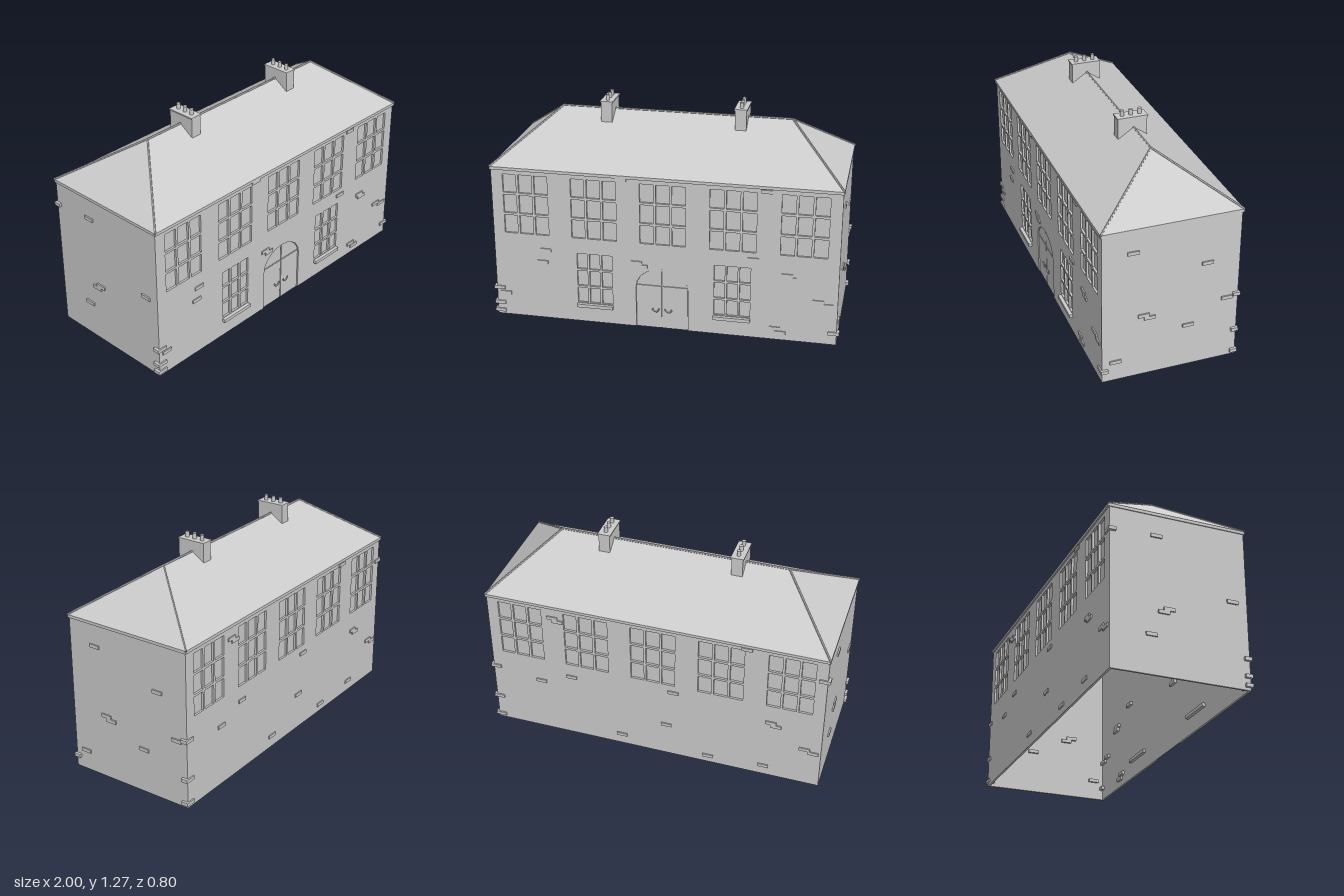
import * as THREE from 'three';

const W = 0.985, D = 0.385, EAVE = 0.917, T = 0.012;
const mat = new THREE.MeshStandardMaterial({ color: 0xcccccc, flatShading: true, side: THREE.DoubleSide });

function add(parent, name, geometry, x = 0, y = 0, z = 0) {
  const m = new THREE.Mesh(geometry, mat);
  m.name = name;
  m.position.set(x, y, z);
  parent.add(m);
  return m;
}
const box = (w, h, d) => new THREE.BoxGeometry(w, h, d);
const extrude = (shape, depth) =>
  new THREE.ExtrudeGeometry(shape, { depth, bevelEnabled: false });
const polygon = (pts) => new THREE.Shape(pts.map(([x, y]) => new THREE.Vector2(x, y)));
const rect = (x0, y0, x1, y1) => polygon([[x0, y0], [x1, y0], [x1, y1], [x0, y1]]);

// Outline of the arched doorway, right jamb to left jamb
function archPoints(rx, spring, rise, cx) {
  const pts = [[cx + rx, 0]];
  for (let i = 0; i <= 10; i++) {
    const a = (i / 10) * Math.PI;
    pts.push([cx + rx * Math.cos(a), spring + rise * Math.sin(a)]);
  }
  pts.push([cx - rx, 0]);
  return pts;
}

// Cuts a 3 x 3 grid of panes and sets glass behind it
function cutWindow(shape, group, cx, y0, w, h, bar) {
  const pw = (w - 2 * bar) / 3, ph = (h - 2 * bar) / 3;
  for (let i = 0; i < 3; i++) {
    for (let j = 0; j < 3; j++) {
      const x = cx - w / 2 + i * (pw + bar), y = y0 + j * (ph + bar);
      shape.holes.push(rect(x, y, x + pw, y + ph));
    }
  }
  add(group, 'windowGlass', new THREE.PlaneGeometry(w, h), cx, y0 + h / 2, D - T);
}

// Long wall facing +z, with five upper windows and an optional entrance
function longWall(name, entrance) {
  const g = new THREE.Group();
  g.name = name;
  const cx = -0.005;
  const outline = [[-W, 0]];
  if (entrance) outline.push(...archPoints(0.15, 0.25, 0.122, cx).reverse());
  outline.push([W, 0], [W, EAVE], [-W, EAVE]);
  const shape = polygon(outline);
  for (let i = -2; i <= 2; i++) cutWindow(shape, g, i * 0.394, 0.52, 0.26, 0.355, 0.014);
  if (entrance) {
    for (const s of [-1, 1]) {
      cutWindow(shape, g, s * 0.395, 0.12, 0.205, 0.305, 0.012);
      add(g, 'windowSill', box(0.21, 0.02, 0.05), s * 0.395, 0.105, D - 0.005);
    }
    addDoor(g, cx);
  }
  add(g, 'wallFace', extrude(shape, T), 0, 0, D - T);
  return g;
}

// Double door with fanlight and ring handles
function addDoor(g, cx) {
  const door = new THREE.Group();
  door.name = 'door';
  add(door, 'doorBacking', new THREE.ShapeGeometry(polygon(archPoints(0.15, 0.25, 0.122, cx))), 0, 0, D - T);
  for (const s of [-1, 1]) {
    add(door, 'doorLeaf', box(0.144, 0.262, 0.006), cx + s * 0.075, 0.131, D - T + 0.003);
    const fan = [];
    for (let i = 0; i <= 5; i++) {
      const a = (i / 10) * Math.PI;
      fan.push([cx + s * (0.003 + 0.144 * Math.cos(a)), 0.25 + 0.119 * Math.sin(a)]);
    }
    fan[0][1] = 0.268;
    fan[0][0] = cx + s * 0.144;
    fan.push([cx + s * 0.003, 0.268]);
    add(door, 'fanlight', extrude(polygon(fan), 0.006), 0, 0, D - T);
    const handle = add(door, 'doorHandle', new THREE.TorusGeometry(0.018, 0.004, 6, 12, Math.PI * 1.1),
      cx + s * 0.037, 0.12, D - 0.001);
    handle.rotation.z = Math.PI * 0.95;
  }
  g.add(door);
}

// Square-section capping between two points
function capping(parent, a, b, r) {
  const m = add(parent, 'ridgeCapping', new THREE.CylinderGeometry(r, r, a.distanceTo(b), 6));
  m.position.copy(a).add(b).multiplyScalar(0.5);
  m.quaternion.setFromUnitVectors(new THREE.Vector3(0, 1, 0), b.clone().sub(a).normalize());
}

function buildRoof() {
  const g = new THREE.Group();
  g.name = 'roof';
  const X = 0.99, Z = 0.393, R = 0.66, H = 1.178;
  const v = (x, y, z) => new THREE.Vector3(x, y, z);
  const fl = v(-X, EAVE, Z), fr = v(X, EAVE, Z), bl = v(-X, EAVE, -Z), br = v(X, EAVE, -Z);
  const rl = v(-R, H, 0), rr = v(R, H, 0);
  const faces = [fl, fr, rr, fl, rr, rl, br, bl, rl, br, rl, rr, fr, br, rr, bl, fl, rl];
  const geo = new THREE.BufferGeometry().setFromPoints(faces);
  geo.computeVertexNormals();
  add(g, 'roofSlopes', geo);
  capping(g, rl, rr, 0.006);
  for (const [a, b] of [[fl, rl], [bl, rl], [fr, rr], [br, rr]]) capping(g, a, b, 0.006);
  // Eaves band round the wall heads
  const ring = rect(-X, -Z, X, Z);
  ring.holes.push(rect(-W + T, -D + T, W - T, D - T));
  add(g, 'eaves', extrude(ring, 0.017), 0, EAVE, 0).rotation.x = Math.PI / 2;
  return g;
}

function buildChimney(x) {
  const g = new THREE.Group();
  g.name = 'chimney';
  g.position.set(x, 0, 0.005);
  add(g, 'chimneyStack', box(0.064, 0.14, 0.165), 0, 1.165, 0);
  add(g, 'chimneyCap', box(0.074, 0.008, 0.172), 0, 1.237, 0);
  for (const z of [-0.05, 0, 0.05]) {
    add(g, 'chimneyPot', new THREE.CylinderGeometry(0.011, 0.011, 0.035, 12), 0, 1.255, z);
  }
  return g;
}

// Proud bricks, given as position along the wall and height
function addBricks(house) {
  const front = [[-0.68, 0.43], [-0.7, 0.355], [-0.15, 0.4], [-0.12, 0.38], [0.7, 0.4], [0.72, 0.38],
    [0.876, 0.256], [0.93, 0.237], [0.64, 0.07], [0.67, 0.045], [0.51, 0.48], [0.576, 0.885],
    [-0.235, 0.893], [-0.93, 0.14]];
  const back = [[0.59, 0.835], [0.56, 0.815], [0.494, 0.43], [0.685, 0.357], [0.194, 0.07], [-0.08, 0.22],
    [-0.69, 0.4], [-0.72, 0.38], [-0.89, 0.256], [-0.94, 0.237], [-0.33, 0.047], [-0.66, 0.066],
    [-0.12, 0.47], [-0.535, 0.885]];
  const left = [[0.215, 0.777], [-0.32, 0.385], [0.31, 0.118], [0.154, 0.38], [0.12, 0.36],
    [-0.2, 0.63], [-0.1, 0.26]];
  const right = [[-0.125, 0.78], [0.3, 0.48], [-0.06, 0.37], [-0.09, 0.35], [-0.16, 0.216]];
  const g = new THREE.Group();
  g.name = 'proudBricks';
  for (const [list, s] of [[front, 1], [back, -1]])
    for (const [x, y] of list) add(g, 'brick', box(0.063, 0.02, 0.035), x, y, s * (D - 0.0105));
  for (const [list, s] of [[left, 1], [right, -1]])
    for (const [z, y] of list) add(g, 'brick', box(0.035, 0.02, 0.063), s * (W - 0.0095), y, z);
  // Corner bricks wrap both faces
  const corners = [[-1, 1, 0.17], [-1, 1, 0.075], [-1, 1, 0.025], [1, -1, 0.168], [1, -1, 0.027],
    [1, -1, 0.4], [-1, -1, 0.77], [1, 1, 0.07]];
  for (const [sx, sz, y] of corners)
    add(g, 'cornerBrick', box(0.063, 0.02, 0.04), sx * (1 - 0.0315), y, sz * (D - 0.012));
  house.add(g);
}

export function createModel() {
  const house = new THREE.Group();
  house.name = 'house';
  house.add(longWall('frontWall', true));
  const back = longWall('backWall', false);
  back.rotation.y = Math.PI;
  house.add(back);
  for (const s of [-1, 1]) {
    add(house, 'sideWall', box(T, EAVE, 2 * D), s * (W - T / 2), EAVE / 2, 0);
  }
  house.add(buildRoof(), buildChimney(-0.385), buildChimney(0.38));
  addBricks(house);
  return house;
}
